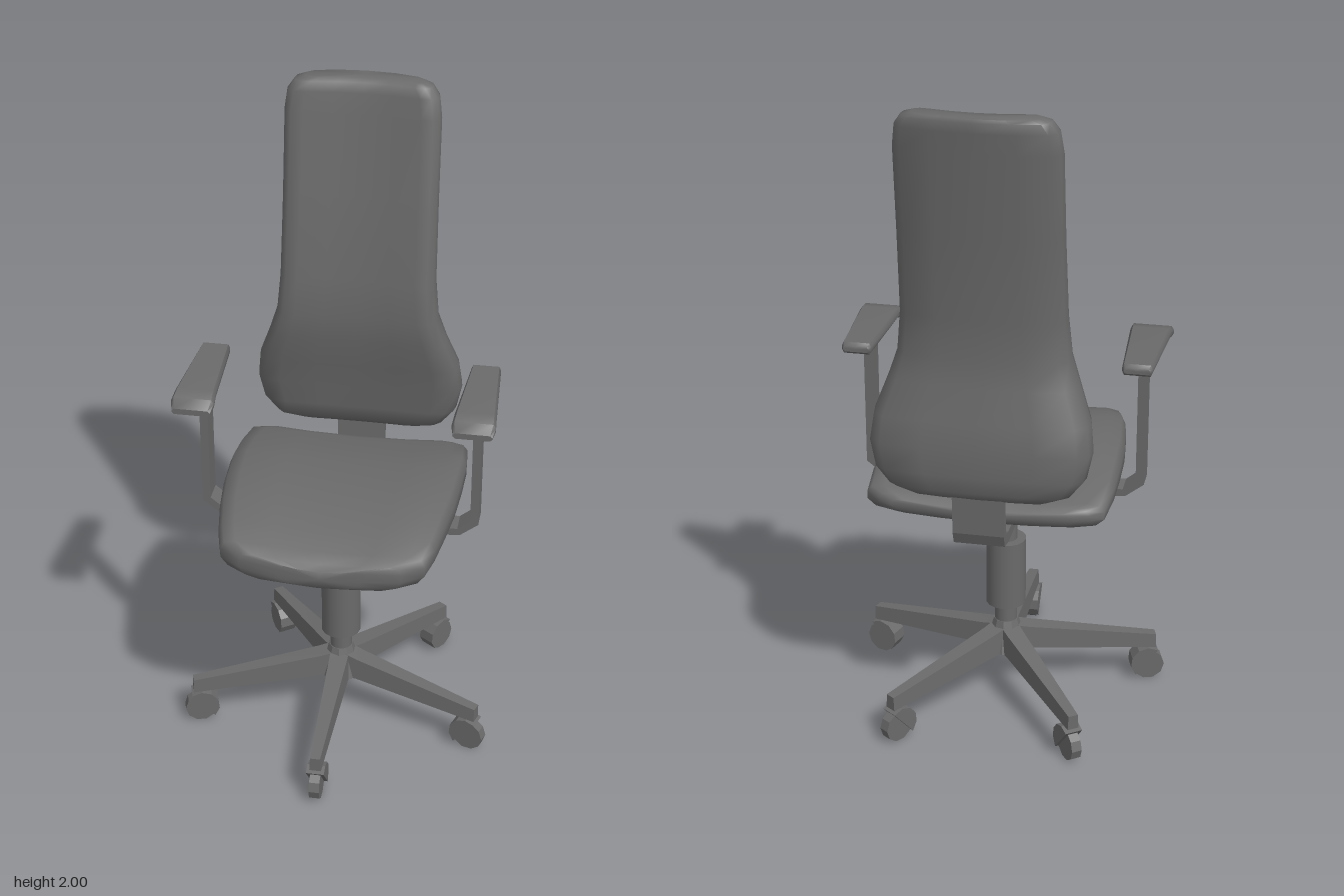
import * as THREE from 'three';
import { toCreasedNormals } from 'three/addons/utils/BufferGeometryUtils.js';

const material = new THREE.MeshStandardMaterial({ color: 0x6a6a6a });
const AXIS_Z = -0.02; // the column stands slightly behind the centre

function add(parent, name, geometry, x = 0, y = 0, z = 0) {
  const mesh = new THREE.Mesh(geometry, material);
  mesh.name = name;
  mesh.position.set(x, y, z);
  parent.add(mesh);
  return mesh;
}

// Loft along z. Rows are [z, halfWidth, low, high, bend]; the half profile runs
// from bottom centre to top centre in unit coordinates; bend lifts the side edges.
function loft(rows, half, crease) {
  const mirrored = half.slice(1, -1).reverse().map(([u, v]) => [-u, v]);
  const ring = [...half, ...mirrored];
  const n = ring.length, pos = [], index = [];
  for (const [z, w, lo, hi, bend = 0] of rows)
    for (const [u, v] of ring) pos.push(u * w, lo + v * (hi - lo) + bend * u * u, z);
  for (let i = 0; i < rows.length - 1; i++)
    for (let j = 0; j < n; j++) {
      const k = (j + 1) % n, a = i * n + j, b = i * n + k;
      index.push(a, b, b + n, a, b + n, a + n);
    }
  // end caps
  [0, rows.length - 1].forEach((r, end) => {
    const [z, , lo, hi] = rows[r], c = pos.length / 3;
    pos.push(0, (lo + hi) / 2, z);
    for (let j = 0; j < n; j++) {
      const a = r * n + j, b = r * n + (j + 1) % n;
      if (end) index.push(c, a, b); else index.push(c, b, a);
    }
  });
  const g = new THREE.BufferGeometry();
  g.setAttribute('position', new THREE.Float32BufferAttribute(pos, 3));
  g.setIndex(index);
  return toCreasedNormals(g, crease);
}

// Flat outline extruded by a depth, centred on z = 0
function plate(points, depth) {
  const shape = new THREE.Shape(points.map(([x, y]) => new THREE.Vector2(x, y)));
  const g = new THREE.ExtrudeGeometry(shape, { depth, bevelEnabled: false });
  return g.translate(0, 0, -depth / 2);
}

// Same, with the outline given as [z, y] and the depth along x
const sidePlate = (points, depth) => plate(points, depth).rotateY(-Math.PI / 2);

const cylinder = (rTop, rBottom, y0, y1, sides) =>
  new THREE.CylinderGeometry(rTop, rBottom, y1 - y0, sides).translate(0, (y0 + y1) / 2, 0);

export function createModel() {
  const chair = new THREE.Group();
  chair.name = 'officeChair';

  // Seat cushion, its sides slightly raised
  const seatProfile = [[0, 0], [0.4, 0], [0.75, 0], [0.93, 0.1], [1, 0.35], [1, 0.65],
    [0.96, 0.9], [0.85, 1], [0.5, 1], [0, 1]];
  const seatRows = [
    [-0.375, 0.27, 0.765, 0.80], [-0.36, 0.31, 0.755, 0.812], [-0.335, 0.35, 0.745, 0.822],
    [-0.22, 0.36, 0.74, 0.85], [-0.1, 0.36, 0.735, 0.877], [0.03, 0.354, 0.732, 0.879],
    [0.15, 0.34, 0.73, 0.875], [0.25, 0.323, 0.727, 0.848], [0.32, 0.303, 0.725, 0.825],
    [0.355, 0.24, 0.725, 0.807], [0.373, 0.12, 0.735, 0.79],
  ].map((row) => [...row, 0.015]);
  add(chair, 'seat', loft(seatRows, seatProfile, 1.1));

  // Backrest: lofted upwards, its upper edges curving forward
  const backProfile = [[0, 0], [0.4, 0], [0.75, 0], [0.9, 0.06], [0.98, 0.25], [1, 0.5],
    [0.98, 0.78], [0.88, 0.95], [0.5, 1], [0, 1]];
  add(chair, 'backrest', loft([
    [0.865, 0.2, 0.365, 0.435, -0.005], [0.89, 0.265, 0.335, 0.449, -0.005],
    [0.94, 0.305, 0.325, 0.453, -0.005], [1.02, 0.322, 0.315, 0.453, -0.007],
    [1.1, 0.312, 0.3, 0.442, -0.012], [1.2, 0.275, 0.283, 0.42, -0.02],
    [1.28, 0.249, 0.279, 0.412, -0.025], [1.4, 0.238, 0.291, 0.414, -0.025],
    [1.65, 0.235, 0.339, 0.441, -0.025], [1.9, 0.234, 0.385, 0.468, -0.025],
    [1.96, 0.226, 0.397, 0.476, -0.025], [1.99, 0.205, 0.405, 0.48, -0.025],
    [2.0, 0.175, 0.418, 0.476, -0.025],
  ], backProfile, 1.1).rotateX(-Math.PI / 2));

  // Bent bracket from under the seat up to the backrest
  add(chair, 'backBracket', sidePlate([
    [0.08, 0.70], [-0.36, 0.70], [-0.415, 0.712], [-0.43, 0.75], [-0.437, 0.9],
    [-0.405, 0.9], [-0.40, 0.765], [-0.39, 0.742], [-0.36, 0.735], [0.08, 0.735],
  ], 0.15));

  // U-shaped arm frame
  const outer = [[0.075, 0.705], [0.37, 0.725], [0.425, 0.768], [0.425, 1.18]];
  const inner = [[0.4, 1.18], [0.4, 0.778], [0.362, 0.747], [0.075, 0.73]];
  const rightSide = [...outer, ...inner];
  const leftSide = rightSide.map(([x, y]) => [-x, y]).reverse();
  add(chair, 'armFrame', plate([...rightSide, ...leftSide], 0.072), 0, 0, AXIS_Z);

  // Arm pads
  const padProfile = [[0, 0], [0.88, 0], [1, 0.35], [1, 0.65], [0.88, 1], [0, 1]];
  for (const [name, side] of [['leftArmPad', 1], ['rightArmPad', -1]]) {
    add(chair, name, loft([
      [-0.187, 0.038, 1.183, 1.2], [-0.178, 0.044, 1.175, 1.21], [0.1, 0.061, 1.18, 1.21],
      [0.145, 0.064, 1.167, 1.202], [0.17, 0.057, 1.16, 1.178],
    ], padProfile, 0.8), side * 0.413);
  }

  // Gas column
  add(chair, 'column', cylinder(0.035, 0.035, 0.2, 0.72, 16), 0, 0, AXIS_Z);
  add(chair, 'columnSleeve', cylinder(0.062, 0.062, 0.31, 0.53, 16), 0, 0, AXIS_Z);

  // Five-spoke base with casters
  const base = new THREE.Group();
  base.name = 'base';
  base.position.z = AXIS_Z;
  chair.add(base);
  add(base, 'hub', toCreasedNormals(cylinder(0.038, 0.07, 0.15, 0.25, 10), 0.4));

  const spokeGeometry = loft([
    [0.01, 0.035, 0.145, 0.235], [0.07, 0.033, 0.15, 0.222], [0.475, 0.018, 0.115, 0.16],
  ], [[0, 0], [1, 0], [0.85, 1], [0, 1]], 0.3);
  const wheelGeometry = toCreasedNormals(
    new THREE.CylinderGeometry(0.05, 0.05, 0.032, 10).rotateZ(Math.PI / 2), 0.3);
  // Hood: part of a disc over the inner and upper side of the wheel
  const hoodOutline = [];
  for (let i = 0; i <= 5; i++) {
    const a = THREE.MathUtils.degToRad(55 + i * 34);
    hoodOutline.push([0.055 * Math.cos(a), 0.055 * Math.sin(a)]);
  }
  const hoodGeometry = sidePlate(hoodOutline, 0.055);

  for (let i = 0; i < 5; i++) {
    const leg = new THREE.Group();
    leg.name = 'baseLeg';
    leg.rotation.y = i * Math.PI * 2 / 5;
    base.add(leg);
    add(leg, 'spoke', spokeGeometry);
    add(leg, 'casterStem', cylinder(0.014, 0.014, 0.09, 0.13, 8), 0, 0, 0.45);
    add(leg, 'casterWheel', wheelGeometry, 0, 0.052, 0.453);
    add(leg, 'casterHood', hoodGeometry, 0, 0.062, 0.45);
  }
  return chair;
}
